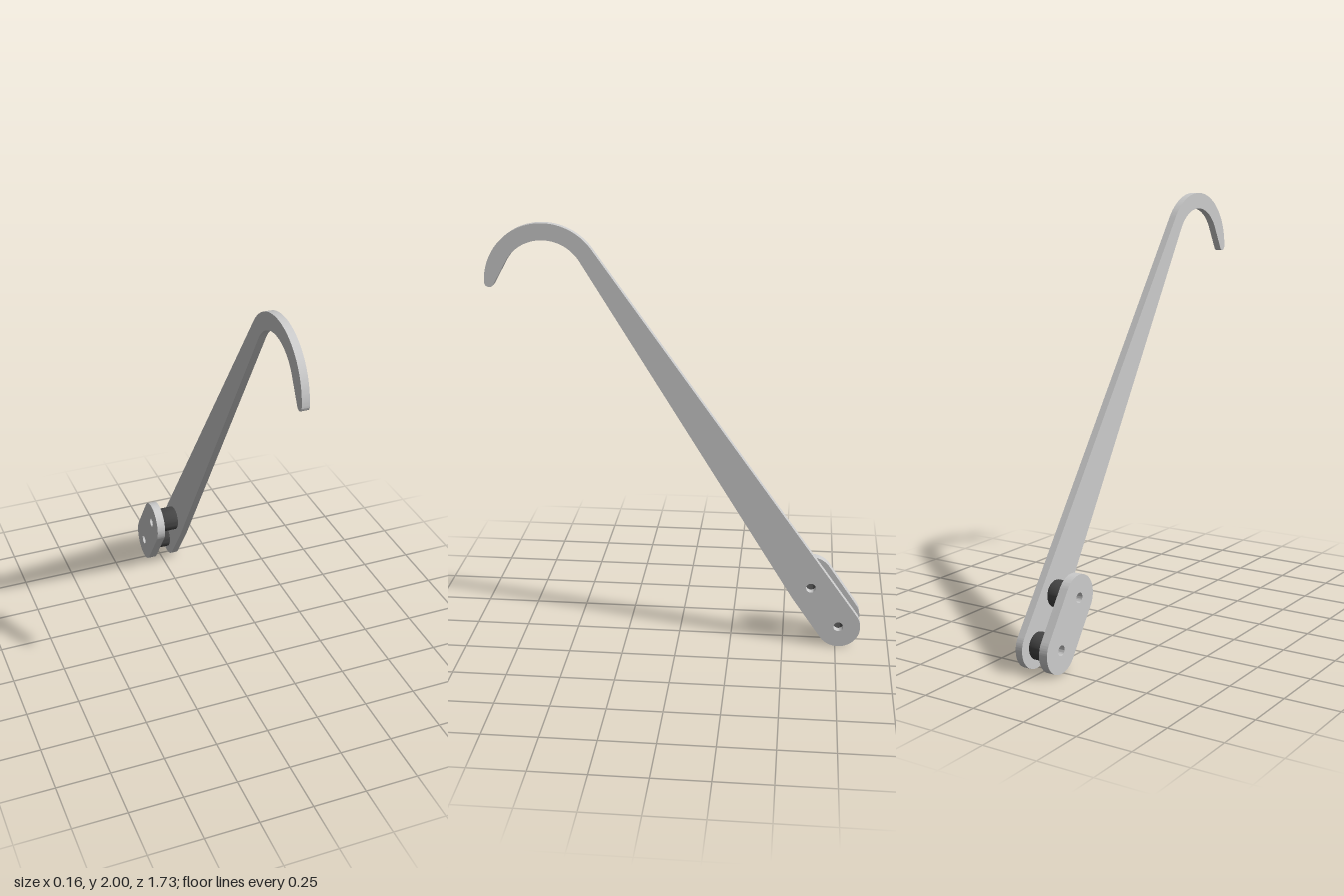
import * as THREE from 'three';
import { toCreasedNormals } from 'three/addons/utils/BufferGeometryUtils.js';

const rad = THREE.MathUtils.degToRad;
const LOWER = [0.763, 0.104], UPPER = [0.628, 0.3]; // pin centres (u = -z, y)
const END_R = 0.103, BORE_R = 0.023;
const ARM_X = [0.048, 0.082], LINK_X = [-0.082, -0.041];

// Adds an arc, joined by a straight line to whatever came before
function arc(shape, [u, y], r, from, to, clockwise = false) {
  shape.absarc(u, y, r, rad(from), rad(to), clockwise);
}

// Cuts both pin holes and extrudes the plate between two x positions
function plate(shape, [x0, x1], material, name) {
  for (const [u, y] of [LOWER, UPPER]) {
    shape.holes.push(new THREE.Path().absarc(u, y, BORE_R, 0, Math.PI * 2, true));
  }
  const geometry = toCreasedNormals(
    new THREE.ExtrudeGeometry(shape, { depth: x1 - x0, bevelEnabled: false, curveSegments: 40 }),
    rad(30)
  );
  geometry.rotateY(Math.PI / 2).translate(x0, 0, 0);
  const mesh = new THREE.Mesh(geometry, material);
  mesh.name = name;
  return mesh;
}

export function createModel() {
  const group = new THREE.Group();
  group.name = 'hookedChainTool';
  const metal = new THREE.MeshStandardMaterial({ color: 0xcccccc });
  const dark = new THREE.MeshStandardMaterial({ color: 0x444444 });

  // Long tapering arm that ends in a hook
  const hook = [-0.599, 1.733];
  const arm = new THREE.Shape();
  arc(arm, LOWER, END_R, -145.5, 35.5);
  arc(arm, hook, 0.267, 35.5, 180);
  arc(arm, [-0.844, 1.733], 0.022, 180, 328.6);
  arc(arm, hook, 0.192, 148.6, 31.9, true);
  arc(arm, UPPER, END_R, 211.9, 214.5);
  arm.closePath();
  group.add(plate(arm, ARM_X, metal, 'hookArm'));

  // Short rounded side link
  const link = new THREE.Shape();
  arc(link, LOWER, END_R, -145.5, 34.5);
  arc(link, UPPER, END_R, 34.5, 214.5);
  link.closePath();
  group.add(plate(link, LINK_X, metal, 'sideLink'));

  // Bored rollers with rounded rims between the plates
  const x0 = LINK_X[1], x1 = ARM_X[0], r = 0.061, round = 0.01;
  const profile = [new THREE.Vector2(BORE_R, x0)];
  for (const [cx, start] of [[x0 + round, -90], [x1 - round, 0]]) {
    for (let i = 0; i <= 5; i++) {
      const a = rad(start + i * 18);
      profile.push(new THREE.Vector2(r - round + round * Math.cos(a), cx + round * Math.sin(a)));
    }
  }
  profile.push(new THREE.Vector2(BORE_R, x1), new THREE.Vector2(BORE_R, x0));
  const rollerGeometry = toCreasedNormals(new THREE.LatheGeometry(profile, 48), rad(30));
  rollerGeometry.rotateZ(-Math.PI / 2);
  [['lowerRoller', LOWER], ['upperRoller', UPPER]].forEach(([name, [u, y]]) => {
    const roller = new THREE.Mesh(rollerGeometry, dark);
    roller.name = name;
    roller.position.set(0, y, -u);
    group.add(roller);
  });

  return group;
}
